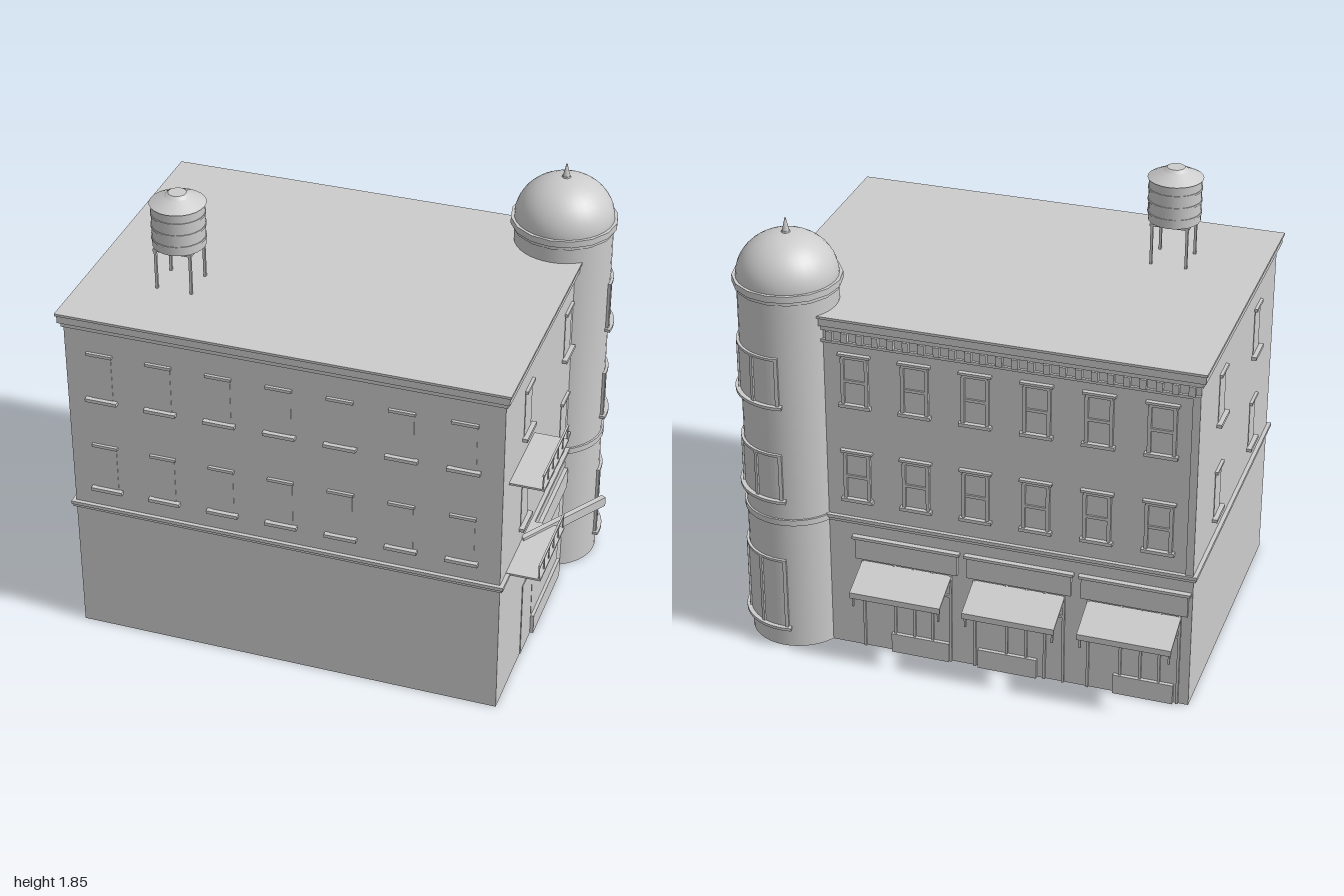
import * as THREE from 'three';

const stone = new THREE.MeshStandardMaterial({ color: 0xcccccc });
stone.name = 'pale grey stone';

export function createModel() {
  const model = new THREE.Group();
  model.name = 'cornerBuilding';

  const add = (name, geometry, parent = model) => {
    const mesh = new THREE.Mesh(geometry, stone);
    mesh.name = name;
    parent.add(mesh);
    return mesh;
  };
  const group = (name, parent = model) => {
    const g = new THREE.Group();
    g.name = name;
    parent.add(g);
    return g;
  };
  // Box given by its lower and upper corners
  const box = (name, x0, x1, y0, y1, z0, z1, parent) => {
    const m = add(name, new THREE.BoxGeometry(x1 - x0, y1 - y0, z1 - z0), parent);
    m.position.set((x0 + x1) / 2, (y0 + y1) / 2, (z0 + z1) / 2);
    return m;
  };
  const cyl = (name, rTop, rBottom, y0, y1, sides, parent) => {
    const m = add(name, new THREE.CylinderGeometry(rTop, rBottom, y1 - y0, sides), parent);
    m.position.y = (y0 + y1) / 2;
    return m;
  };

  // Main block, floor band and roof cornice
  const X0 = -0.97, X1 = 0.76, Z0 = -0.55, Z1 = 0.67;
  const slab = (name, y0, y1, out) => box(name, X0 - out, X1 + out, y0, y1, Z0 - out, Z1 + out);
  slab('walls', 0, 1.4, 0);
  slab('floorBand', 0.565, 0.578, 0.01);
  slab('floorBandLedge', 0.578, 0.592, 0.016);
  slab('corniceNeck', 1.395, 1.415, 0.008);
  slab('cornice', 1.415, 1.447, 0.018);
  slab('corniceTop', 1.447, 1.457, 0.024);

  // Windows: each is built facing +z at the origin, then turned onto its wall
  const floors = [[0.68, 0.87], [1.095, 1.287]];
  const addWindow = (x, z, turn, y0, y1, framed) => {
    const w = group('window');
    w.position.set(x, 0, z);
    w.rotation.y = turn;
    box('sill', -0.064, 0.064, y0 - 0.014, y0, -0.005, 0.02, w);
    box('lintel', -0.052, 0.052, y1, y1 + 0.012, -0.005, 0.012, w);
    box('pane', -0.046, 0.046, y0, y1, -0.003, 0.002, w);
    if (!framed) return;
    const mid = (y0 + y1) / 2;
    for (const s of [-1, 1]) box('jamb', s * 0.048 - 0.007, s * 0.048 + 0.007, y0, y1, -0.005, 0.012, w);
    box('meetingRail', -0.042, 0.042, mid - 0.006, mid + 0.006, -0.002, 0.009, w);
    box('lintelCap', -0.064, 0.064, y1 + 0.012, y1 + 0.022, -0.005, 0.018, w);
  };
  for (const [y0, y1] of floors) {
    for (let i = 0; i < 7; i++) {
      const x = -0.83 + 0.24 * i;
      addWindow(x, Z1, 0, y0, y1, false);
      if (i < 6) addWindow(x, Z0, Math.PI, y0, y1, true);
    }
    for (const z of [0.355, -0.215]) {
      addWindow(X1, z, Math.PI / 2, y0, y1, false);
      addWindow(X0, z, -Math.PI / 2, y0, y1, false);
    }
  }

  // Bracketed frieze on the shop side
  const frieze = group('frieze');
  box('friezeBand', X0, 0.5, 1.345, 1.357, Z0 - 0.01, Z0, frieze);
  for (let i = 0; i < 24; i++) {
    const x = -0.95 + i * 0.061;
    box('bracket', x, x + 0.025, 1.357, 1.396, Z0 - 0.017, Z0, frieze);
  }
  box('cornerStrip', X0, X0 + 0.03, 0.592, 1.345, Z0 - 0.008, Z0, frieze);

  // Three shopfronts with awnings
  const awningShape = new THREE.Shape([[0, 0.4], [0.145, 0.337], [0.145, 0.312],
    [0.139, 0.312], [0.139, 0.331], [0, 0.39]].map(p => new THREE.Vector2(...p)));
  [[-0.93, -0.91], [-0.47, -0.36], [-0.01, 0.0]].forEach(([x, bulk]) => {
    const shop = group('shopfront');
    const awning = add('awning', new THREE.ExtrudeGeometry(awningShape,
      { depth: 0.37, bevelEnabled: false }), shop);
    awning.rotation.y = Math.PI / 2; // profile runs out to -z
    awning.position.set(x, 0, Z0 - 0.005);
    box('signBoard', x - 0.025, x + 0.395, 0.41, 0.5, Z0 - 0.015, Z0, shop);
    box('signLedge', x - 0.035, x + 0.405, 0.5, 0.512, Z0 - 0.022, Z0, shop);
    box('bulkhead', bulk, bulk + 0.24, 0, 0.085, Z0 - 0.015, Z0, shop);
    for (const t of [0, 0.075, 0.15, 0.23, 0.36])
      box('mullion', x + t, x + t + 0.01, 0, 0.4, Z0 - 0.008, Z0, shop);
    box('transom', x, x + 0.37, 0.3, 0.31, Z0 - 0.008, Z0, shop);
    for (const t of [0.005, 0.355])
      box('awningArm', x + t, x + t + 0.008, 0.272, 0.335, Z0 - 0.143, Z0 - 0.136, shop);
  });

  // Side shopfront: sign board, low bulkhead, window and door
  const side = group('sideShopfront');
  box('sideSign', X1, X1 + 0.016, 0.41, 0.5, -0.28, 0.24, side);
  box('sideBulkhead', X1, X1 + 0.016, 0, 0.085, -0.22, 0.185, side);
  box('sideWindow', X1, X1 + 0.003, 0.085, 0.4, -0.22, 0.185, side);
  box('sideDoor', X1, X1 + 0.003, 0, 0.34, 0.19, 0.33, side);

  // Two balconies with an outer railing
  for (const y of [0.59, 1.005]) {
    const b = group('balcony');
    box('balconyFloor', X1, 0.895, y - 0.004, y + 0.004, 0.24, 0.59, b);
    box('handrail', 0.885, 0.893, y + 0.06, y + 0.067, 0.24, 0.59, b);
    for (let i = 0; i < 6; i++) {
      const z = 0.24 + 0.069 * i;
      box('railPost', 0.886, 0.891, y, y + 0.062, z, z + 0.005, b);
    }
  }
  // Slanting beam beside the lower balcony
  const beam = add('slantingBeam', new THREE.BoxGeometry(0.43, 0.04, 0.022));
  beam.position.set(0.876, 0.585, 0.187);
  beam.rotation.y = Math.atan2(0.36, 0.23);

  // Round corner tower with a dome and spire
  const tower = group('tower');
  tower.position.set(0.667, 0, -0.46);
  cyl('towerWall', 0.195, 0.195, 0, 1.535, 40, tower);
  cyl('towerBand', 0.203, 0.203, 0.565, 0.59, 40, tower);
  cyl('domeRingNeck', 0.203, 0.203, 1.52, 1.535, 16, tower);
  cyl('domeRing', 0.211, 0.211, 1.535, 1.562, 16, tower);
  const dome = add('dome', new THREE.SphereGeometry(0.197, 32, 12, 0, Math.PI * 2, 0, Math.PI / 2), tower);
  dome.scale.y = 0.88;
  dome.position.y = 1.56;
  cyl('spireBase', 0.016, 0.019, 1.725, 1.738, 12, tower);
  cyl('spire', 0.002, 0.014, 1.738, 1.79, 12, tower);

  // Curved plate on the tower; degrees run from +x round to -z
  const arc = (name, r, a0, a1, y0, y1, parent) => {
    const s = new THREE.Shape();
    const p = a0 * Math.PI / 180, q = a1 * Math.PI / 180;
    s.absarc(0, 0, r, p, q, false);
    s.absarc(0, 0, 0.19, q, p, true);
    const g = new THREE.ExtrudeGeometry(s, { depth: y1 - y0, bevelEnabled: false, curveSegments: 12 });
    g.rotateX(-Math.PI / 2);
    add(name, g, parent).position.y = y0;
  };
  for (const [y0, y1] of [[0.095, 0.395], [0.68, 0.87], [1.095, 1.287]]) {
    const w = group('towerWindow', tower);
    arc('towerPane', 0.199, -6, 98, y0, y1, w);
    arc('towerSill', 0.217, -9, 101, y0 - 0.012, y0, w);
    arc('towerLintel', 0.206, -6, 98, y1, y1 + 0.01, w);
    for (const a of [-6, 25, 63, 94]) arc('towerMullion', 0.206, a, a + 4, y0, y1, w);
  }

  // Rooftop water tank on four legs
  const tank = group('waterTank');
  tank.position.set(-0.63, 0, 0.325);
  for (const x of [-0.07, 0.07]) for (const z of [-0.07, 0.07])
    box('tankLeg', x - 0.005, x + 0.005, 1.45, 1.63, z - 0.005, z + 0.005, tank);
  box('tankPlatform', -0.078, 0.078, 1.62, 1.63, -0.078, 0.078, tank);
  cyl('tankBarrel', 0.103, 0.103, 1.63, 1.808, 24, tank);
  for (const y of [1.66, 1.71, 1.76]) cyl('tankHoop', 0.106, 0.106, y, y + 0.008, 24, tank);
  cyl('tankRoof', 0.045, 0.109, 1.805, 1.838, 24, tank);
  cyl('tankHatch', 0.035, 0.05, 1.836, 1.847, 24, tank);

  return model;
}
